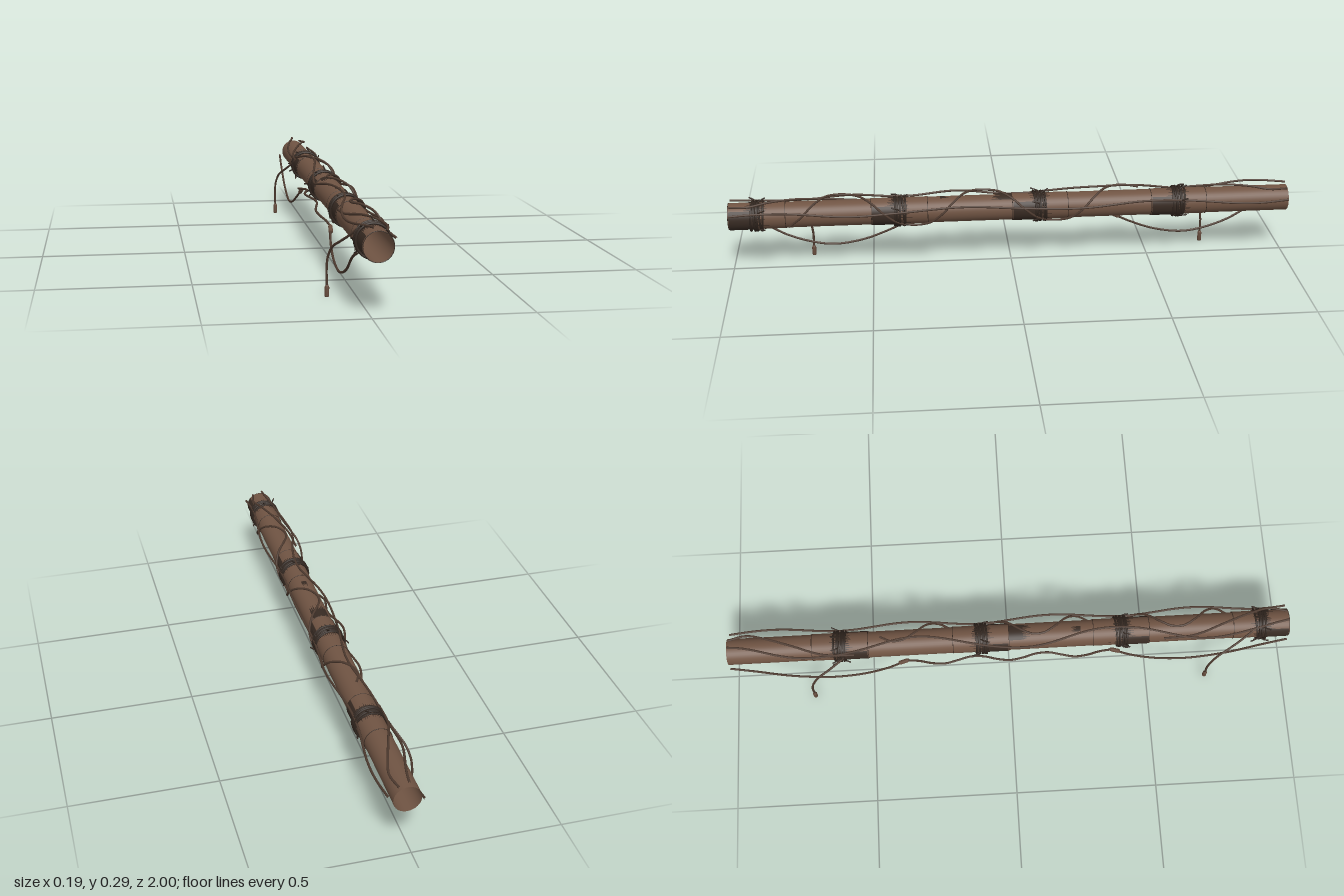
import * as THREE from 'three';

const CX = 0.018, CY = 0.215, R = 0.046;
const COLLARS = [0.9, 0.4, -0.1, -0.6];
const mat = (name, color, side = THREE.FrontSide) => {
  const m = new THREE.MeshStandardMaterial({ color, side });
  m.name = name;
  return m;
};

export function createModel() {
  const model = new THREE.Group();
  model.name = 'cabledPipe';
  const rust = mat('pipeBrown', 0x705443, THREE.DoubleSide);
  const cord = mat('cableBrown', 0x4c392e);
  const dark = mat('bindingDark', 0x30251e);
  const grime = mat('grimeDark', 0x382b23, THREE.DoubleSide);
  const plugMat = mat('plugBrown', 0x654a3b);

  let seed = 7;
  const rnd = () => (seed = (seed * 16807) % 2147483647) / 2147483647;
  const add = (parent, name, geo, m) => {
    const mesh = new THREE.Mesh(geo, m);
    mesh.name = name;
    parent.add(mesh);
    return mesh;
  };
  // Point around the pipe: angle in degrees from +x, radius, z
  const polar = (deg, r, z) => {
    const a = THREE.MathUtils.degToRad(deg);
    return new THREE.Vector3(CX + Math.cos(a) * r, CY + Math.sin(a) * r, z);
  };
  const vec = (p) => new THREE.Vector3(...p);
  const cable = (name, pts, r = 0.004, m = cord, parent = model) => {
    const curve = new THREE.CatmullRomCurve3(pts, false, 'centripetal');
    return add(parent, name, new THREE.TubeGeometry(curve, pts.length * 7, r, 8), m);
  };
  const sleeve = (name, r, z, len) => {
    const g = new THREE.CylinderGeometry(r, r, len, 40, 1, true).rotateX(Math.PI / 2);
    add(model, name, g, rust).position.set(CX, CY, z);
  };
  const ring = (parent, name, r, tube, z, m) => {
    const t = add(parent, name, new THREE.TorusGeometry(r, tube, 6, 40), m);
    t.position.set(CX, CY, z);
    return t;
  };
  // Thin curved patch with a ragged edge, from z0 to about z1
  const ragged = (parent, name, a0, a1, z0, z1, tooth, r, n) => {
    const pos = [], nor = [], idx = [];
    for (let i = 0; i <= n; i++) {
      const a = a0 + (a1 - a0) * i / n;
      const end = z1 + (i % 2 ? 1 : -0.2) * tooth * (0.3 + 0.7 * rnd());
      const out = polar(a, 1, 0).sub(new THREE.Vector3(CX, CY, 0));
      for (const z of [z0, end]) {
        pos.push(...polar(a, r, z).toArray());
        nor.push(...out.toArray());
      }
      const k = i * 2;
      const s = z1 > z0;
      if (i < n) idx.push(...(s ? [k, k + 2, k + 1, k + 1, k + 2, k + 3] : [k, k + 1, k + 2, k + 1, k + 3, k + 2]));
    }
    const g = new THREE.BufferGeometry();
    g.setAttribute('position', new THREE.Float32BufferAttribute(pos, 3));
    g.setAttribute('normal', new THREE.Float32BufferAttribute(nor, 3));
    // Front faces point away from the pipe axis
    for (let i = 0; i < idx.length; i += 3) {
      const [a, b, c] = [0, 1, 2].map((j) => vec(pos.slice(idx[i + j] * 3, idx[i + j] * 3 + 3)));
      const o = vec(nor.slice(idx[i] * 3, idx[i] * 3 + 3));
      if (b.sub(a).cross(c.sub(a)).dot(o) < 0) [idx[i + 1], idx[i + 2]] = [idx[i + 2], idx[i + 1]];
    }
    g.setIndex(idx);
    add(parent, name, g, grime);
  };

  // Hollow pipe
  sleeve('pipe', R, 0, 2);

  // Sleeves, ragged wrappings and cord bindings
  COLLARS.forEach((c) => {
    const g = new THREE.Group();
    g.name = 'collar';
    model.add(g);
    sleeve('jointSleeve', R + 0.0015, c, 0.2);
    for (const s of [-0.0995, 0.0995]) ring(g, 'sleeveRim', R + 0.0012, 0.0012, c + s, grime);
    ragged(g, 'wrapping', 138, 402, c + 0.097, c, -0.05, R + 0.003, 70);
    ragged(g, 'wrappingTop', 42, 138, c + 0.012, c - 0.012, -0.03, R + 0.003, 24);
    ragged(g, 'wrappingFringe', 42, 138, c - 0.005, c + 0.02, 0.03, R + 0.0034, 24);
    for (let i = 0; i < 6; i++) {
      const t = ring(g, 'binding', R + 0.0065 + 0.002 * rnd(), 0.0036, c - 0.018 + i * 0.0072, dark);
      t.rotation.set((rnd() - 0.5) * 0.16, (rnd() - 0.5) * 0.16, 0);
    }
    // Loose cord ends
    for (const a of [22, 75, 118, 165, 192, 215, 318]) {
      const d = a + (rnd() - 0.5) * 12, s = rnd() > 0.5 ? 1 : -1;
      cable('cordEnd', [polar(d, R + 0.005, c), polar(d + 6, R + 0.012, c + s * 0.012),
        polar(d + 10, R + 0.012 + 0.011 * rnd(), c + s * 0.03)], 0.0026, dark, g);
    }
  });

  // Grime patches on the top
  ragged(model, 'grimePatch', 55, 125, 0, 0.05, 0.04, R + 0.003, 18);
  ragged(model, 'smallGrimePatch', 78, 102, 0.255, 0.235, -0.025, R + 0.001, 8);

  // Side cable bulging between the collars
  const side = [], winding = [], upper = [];
  const N = 48;
  for (let i = 0; i <= N; i++) {
    const z = 0.995 - 1.99 * i / N;
    const w = Math.abs(Math.sin(Math.PI * (z - 0.4) / 0.5));
    side.push(polar(18 + 9 * Math.sin(z * 9), R + 0.008 + 0.018 * w * w, z));
    // Cable swinging from the crown to the underside
    const p = Math.cos(2 * Math.PI * (z - 0.6) / 0.5);
    winding.push(polar(30 + 75 * p, R + 0.009 + 0.011 * w * w, z));
    // Cable weaving along the upper left
    upper.push(polar(122 + 28 * Math.sin(2 * Math.PI * (z + 0.15) / 0.7), R + 0.008 + 0.012 * w * w, z));
  }
  cable('sideCable', side);
  cable('windingCable', winding.slice(5, 36));
  cable('upperCable', upper);
  // Crown cables near the ends
  for (const s of [1, -1]) {
    cable('crownCable', [polar(60, 0.052, s * 0.995), polar(52, 0.062, s * 0.93), polar(70, 0.06, s * 0.86),
      polar(100, 0.054, s * 0.77), polar(140, 0.056, s * 0.66), polar(150, 0.054, s * 0.55)]);
  }

  // Left cable running between the two plugs
  const left = [];
  for (let i = 0; i <= 16; i++) {
    const z = 0.37 - 0.74 * i / 16, e = Math.abs(z) / 0.37;
    const x = -0.052 - 0.012 * Math.cos(z * 25);
    left.push(new THREE.Vector3(THREE.MathUtils.lerp(x, -0.028, e ** 4), 0.2 - 0.045 * e * e, z));
  }
  cable('leftCable', left);

  // Plug: capped barrel with narrower neck, aligned to a direction
  const plug = (name, at, dir, len, r) => {
    const h = len / 2;
    const profile = [[0, -h], [r * 0.8, -h], [r, -h + r * 0.4], [r, h - r], [r * 0.6, h], [0, h]];
    const g = new THREE.LatheGeometry(profile.map(([x, y]) => new THREE.Vector2(x, y)), 12);
    const m = add(model, name, g, plugMat);
    m.position.copy(at);
    m.quaternion.setFromUnitVectors(new THREE.Vector3(0, 1, 0), dir.normalize());
  };

  for (const s of [1, -1]) {
    // Sagging cable
    cable('saggingCable', [[-0.04, 0.2, 0.995], [-0.044, 0.168, 0.91], [-0.044, 0.105, 0.8], [-0.044, 0.072, 0.7],
      [-0.044, 0.064, 0.63], [-0.043, 0.08, 0.53], [-0.038, 0.115, 0.44], [-0.028, 0.153, 0.37]]
      .map(([x, y, z]) => new THREE.Vector3(x, y, s * z)));
    plug('inlinePlug', new THREE.Vector3(-0.029, 0.148, s * 0.38), new THREE.Vector3(0.1, 0.5, -s), 0.04, 0.0075);

    // Dangling cable with its end plug
    const z = s * 0.717;
    cable('danglingCable', [[-0.02, 0.245, z + 0.15], [-0.042, 0.215, z + 0.11], [-0.062, 0.19, z + 0.07],
      [-0.08, 0.165, z + 0.03], [-0.09, 0.13, z + 0.008], [-0.093, 0.09, z], [-0.092, 0.035, z]].map(vec));
    plug('endPlug', new THREE.Vector3(-0.092, 0.019, z), new THREE.Vector3(0, 1, 0), 0.038, 0.0075);
  }
  return model;
}
